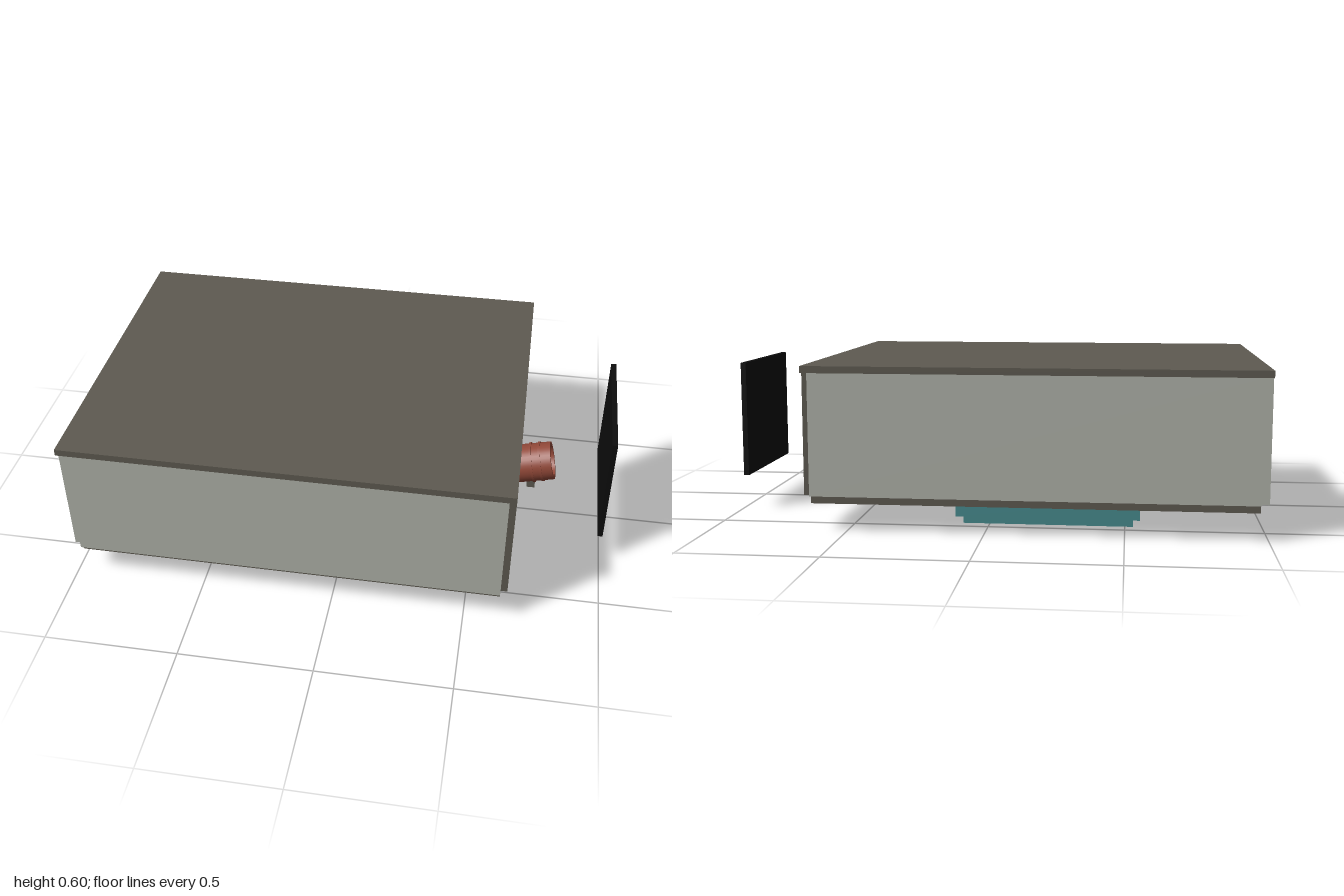
import * as THREE from 'three';

const mat = (name, color, extra = {}) => {
  const m = new THREE.MeshStandardMaterial({ color, ...extra });
  m.name = name;
  return m;
};

export function createModel() {
  const model = new THREE.Group();
  const brown = mat('brown', 0x5e5a51);
  const pale = mat('paleGrey', 0xb0b3aa);
  const teal = mat('teal', 0x478c8f);
  const red = mat('rust', 0x914838);
  const black = mat('black', 0x0d0d0d);
  const glass = mat('glassGrey', 0x868a88);

  const add = (parent, name, geo, material) => {
    const mesh = new THREE.Mesh(geo, material);
    mesh.name = name;
    parent.add(mesh);
    return mesh;
  };
  // Box from its min and max corners
  const box = (name, material, [x0, y0, z0], [x1, y1, z1]) => {
    const geo = new THREE.BoxGeometry(x1 - x0, y1 - y0, z1 - z0);
    geo.translate((x0 + x1) / 2, (y0 + y1) / 2, (z0 + z1) / 2);
    return add(model, name, geo, material);
  };

  // Housing: lid, floor and side panels with open corner notches
  box('lid', brown, [-1, 0.575, -0.65], [0.655, 0.6, 0.65]);
  box('floor', brown, [-0.97, 0.1, -0.625], [0.63, 0.13, 0.625]);
  box('frontPanel', pale, [-0.97, 0.13, 0.625], [0.63, 0.575, 0.65]);
  box('backPanel', pale, [-0.97, 0.13, -0.65], [0.63, 0.575, -0.625]);
  box('rightPanel', pale, [-1, 0.13, -0.625], [-0.97, 0.575, 0.625]);

  // Left wall with a doorway-like opening, drawn in (z, y)
  const wall = new THREE.Shape([
    [-0.625, 0.13], [-0.16, 0.13], [-0.16, 0.43], [0.16, 0.43],
    [0.16, 0.13], [0.625, 0.13], [0.625, 0.575], [-0.625, 0.575],
  ].map(([z, y]) => new THREE.Vector2(z, y)));
  const wallGeo = new THREE.ExtrudeGeometry(wall, { depth: 0.025, bevelEnabled: false });
  wallGeo.rotateY(Math.PI / 2).translate(0.63, 0, 0);
  add(model, 'leftWall', wallGeo, brown);

  // Stepped base
  box('baseUpper', teal, [-0.555, 0.03, -0.474], [0.125, 0.1, 0.474]);
  box('baseLower', teal, [-0.53, 0, -0.445], [0.1, 0.03, 0.445]);

  // Screen standing off the opening
  box('screen', black, [0.98, 0.13, -0.268], [1, 0.575, 0.268]);

  // Tilted barrel; local y runs along its axis, origin at the mouth
  const barrel = new THREE.Group();
  barrel.name = 'barrel';
  barrel.position.set(0.787, 0.268, 0);
  barrel.rotation.z = THREE.MathUtils.degToRad(14) - Math.PI / 2;
  model.add(barrel);
  const lathe = (pts) => new THREE.LatheGeometry(pts.map(([r, y]) => new THREE.Vector2(r, y)), 40);
  add(barrel, 'barrelOuter', lathe([[0.076, -0.28], [0.076, 0]]), red);
  add(barrel, 'barrelMouth', lathe([[0.076, 0], [0.062, 0]]), red);
  add(barrel, 'barrelInner', lathe([[0.062, 0], [0.062, -0.02]]), red);
  add(barrel, 'barrelRear', lathe([[0, -0.28], [0.076, -0.28]]), red);
  add(barrel, 'lens', lathe([[0.062, -0.02], [0.045, -0.014], [0.022, -0.009], [0, -0.007]]), glass);
  for (const y of [-0.045, -0.08]) {
    const band = new THREE.CylinderGeometry(0.08, 0.08, 0.009, 40);
    add(barrel, 'barrelBand', band.translate(0, y, 0), red);
  }

  // Post under the barrel
  box('post', brown, [0.695, 0.13, -0.015], [0.727, 0.19, 0.015]);

  return model;
}
